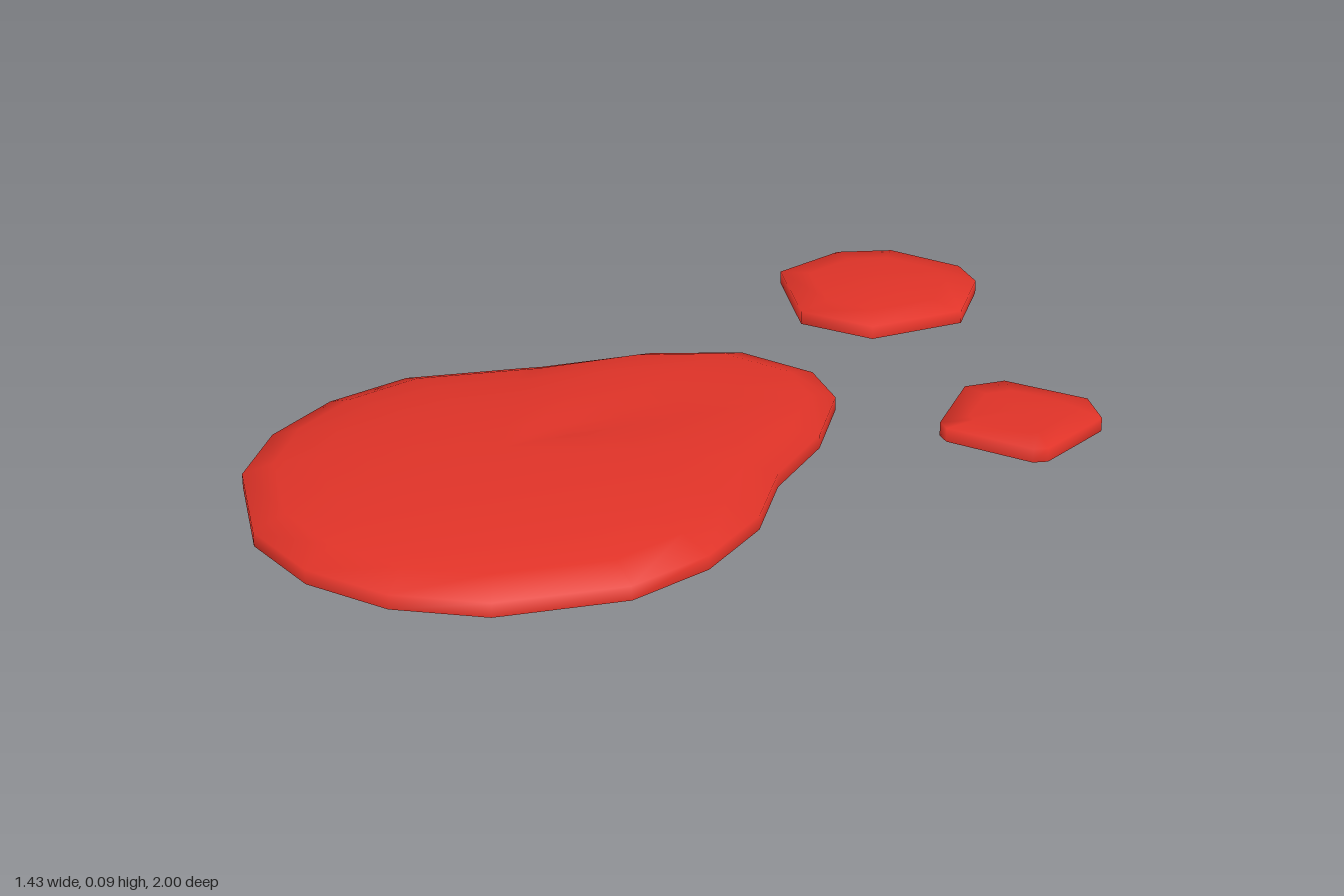
import * as THREE from 'three';

const WALL = 0.03; // height of the steep rim

// Open-bottomed droplet: a steep rim, a rounded shoulder and a shallow dome.
// outline: [x, z] corners, clockwise seen from above
function droplet(name, material, { outline, center, peak, shoulder, inset, rings, power }) {
  const [cx, cz] = center;
  const n = outline.length;
  const pos = [];
  const index = [];

  const addRing = (place) => outline.forEach(([x, z]) => {
    const reach = Math.hypot(x - cx, z - cz);
    const [t, y] = place(reach);
    pos.push(cx + (x - cx) * t, y, cz + (z - cz) * t);
  });

  // rim foot and rim top
  addRing(() => [1, 0]);
  addRing(() => [1, WALL]);
  // shoulder and dome
  for (const f of rings) {
    addRing((reach) => [
      f * (1 - inset / reach),
      peak - (peak - shoulder(reach)) * Math.pow(f, power(reach)),
    ]);
  }
  pos.push(cx, peak, cz);

  const count = rings.length + 2;
  for (let r = 0; r < count; r++) {
    for (let i = 0; i < n; i++) {
      const j = (i + 1) % n;
      const a = r * n + i;
      const b = r * n + j;
      if (r === count - 1) {
        index.push(count * n, b, a);
      } else {
        index.push(a + n, b, a, a + n, b + n, b);
      }
    }
  }

  const geometry = new THREE.BufferGeometry();
  geometry.setAttribute('position', new THREE.Float32BufferAttribute(pos, 3));
  geometry.setIndex(index);
  geometry.computeVertexNormals();
  const mesh = new THREE.Mesh(geometry, material);
  mesh.name = name;
  return mesh;
}

export function createModel() {
  const group = new THREE.Group();
  group.name = 'splatter';
  const red = new THREE.MeshStandardMaterial({ color: 0xe03328, side: THREE.DoubleSide });

  // Main pool, flatter towards its narrow back end
  group.add(droplet('mainPool', red, {
    outline: [
      [-0.10, -0.285], [0.085, -0.27], [0.19, -0.18], [0.25, 0], [0.265, 0.2],
      [0.325, 0.38], [0.325, 0.57], [0.265, 0.745], [0.08, 0.93], [-0.1, 1],
      [-0.29, 1], [-0.47, 0.93], [-0.65, 0.745], [-0.715, 0.57], [-0.715, 0.38],
      [-0.65, 0.2], [-0.465, 0.03], [-0.435, 0.005], [-0.27, -0.18],
    ],
    center: [-0.2, 0.48],
    peak: 0.09,
    shoulder: (reach) => 0.055 - 0.02 * Math.max(0, reach - 0.52),
    inset: 0.065,
    rings: [1, 0.8, 0.6, 0.4, 0.2],
    power: (reach) => 2.7 - 6.5 * Math.max(0, reach - 0.52),
  }));

  // Round drop behind the pool
  group.add(droplet('roundDrop', red, {
    outline: [
      [-0.1, -1], [0.085, -0.99], [0.16, -0.925], [0.21, -0.745],
      [0.08, -0.56], [-0.1, -0.555], [-0.26, -0.745], [-0.205, -0.925],
    ],
    center: [-0.02, -0.76],
    peak: 0.048,
    shoulder: () => 0.04,
    inset: 0.075,
    rings: [1, 0.5],
    power: () => 2,
  }));

  // Small drop at the side
  group.add(droplet('smallDrop', red, {
    outline: [
      [0.4, -0.37], [0.46, -0.44], [0.65, -0.445], [0.715, -0.37],
      [0.68, -0.18], [0.655, -0.16], [0.46, -0.16], [0.435, -0.18],
    ],
    center: [0.56, -0.31],
    peak: 0.038,
    shoulder: () => 0.036,
    inset: 0.065,
    rings: [1],
    power: () => 2,
  }));

  return group;
}
